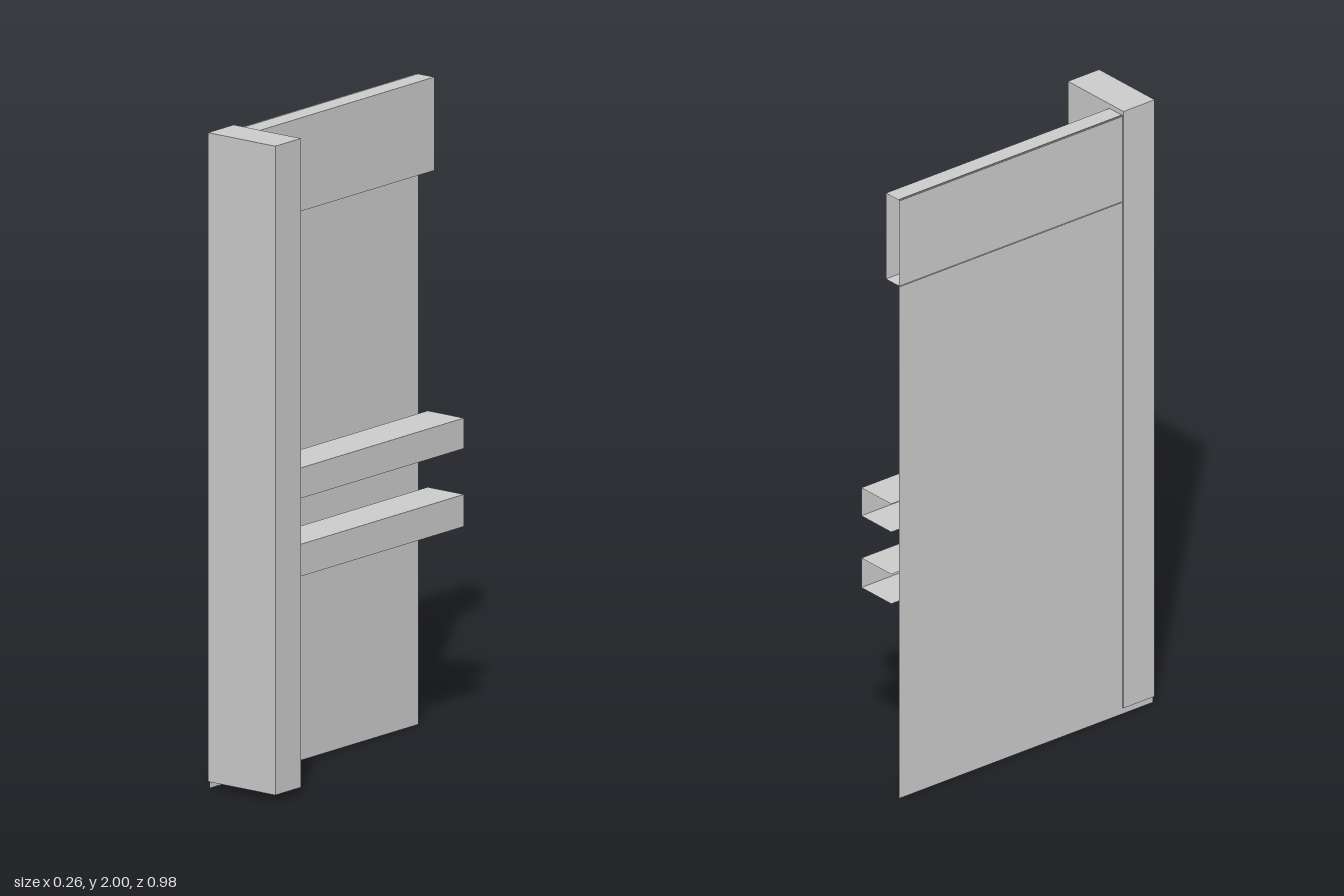
import * as THREE from 'three';

const material = new THREE.MeshStandardMaterial({ color: 0xcccccc, side: THREE.DoubleSide, flatShading: true });

const BACK = -0.49, FRONT = 0.49, POST_BACK = 0.37;

// Thin sheet lying along z, either upright (constant x) or flat (constant y)
function sheet(x0, x1, y0, y1, z0, z1) {
  const upright = x0 === x1;
  const geometry = new THREE.PlaneGeometry(upright ? z1 - z0 : x1 - x0, upright ? y1 - y0 : z1 - z0);
  if (upright) geometry.rotateY(Math.PI / 2);
  else geometry.rotateX(y0 > 0 ? -Math.PI / 2 : Math.PI / 2);
  geometry.translate((x0 + x1) / 2, (y0 + y1) / 2, (z0 + z1) / 2);
  return new THREE.Mesh(geometry, material);
}

// Three-sided channel, open at its back end and toward the panel
function channel(name, xInner, xOuter, y0, y1) {
  const group = new THREE.Group();
  group.name = name;
  const faces = {
    Face: sheet(xOuter, xOuter, y0, y1, BACK, POST_BACK),
    Top: sheet(xInner, xOuter, y1, y1, BACK, POST_BACK),
    Bottom: sheet(xInner, xOuter, y0, y0, BACK, POST_BACK),
  };
  for (const [part, mesh] of Object.entries(faces)) {
    mesh.name = name + part;
    group.add(mesh);
  }
  return group;
}

export function createModel() {
  const model = new THREE.Group();
  model.name = 'fencePanel';

  // Solid upright post at the front
  const post = new THREE.Mesh(new THREE.BoxGeometry(0.256, 1.98, FRONT - POST_BACK), material);
  post.name = 'post';
  post.position.set(0, 1.01, (FRONT + POST_BACK) / 2);
  model.add(post);

  // Thin full-height panel, running into the post
  const panel = sheet(-0.124, -0.124, 0, 1.988, BACK, FRONT - 0.002);
  panel.name = 'panel';
  model.add(panel);

  // Top band and the two horizontal rails
  model.add(channel('topBand', -0.128, -0.063, 1.7, 1.985));
  model.add(channel('upperRail', -0.088, 0.05, 0.87, 0.963));
  model.add(channel('lowerRail', -0.088, 0.05, 0.632, 0.73));

  return model;
}
